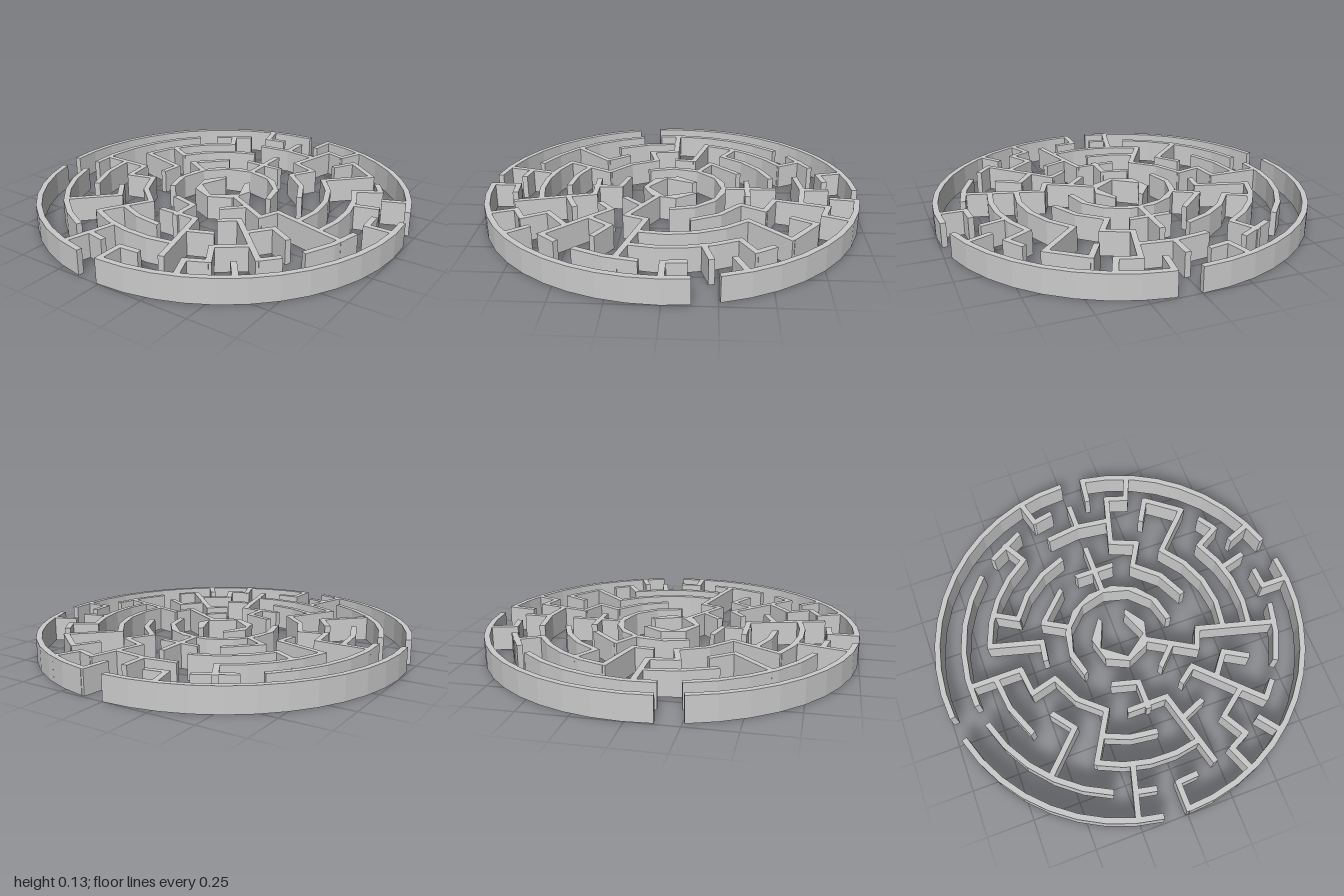
import * as THREE from 'three';

const STEP = 0.1407;   // distance between rings
const HALF = 0.015;    // half wall thickness
const HEIGHT = 0.13;
const FACET = 0.135;   // target facet length of curved walls

// Curved walls: [ring, startAngle, endAngle], degrees clockwise from the back
const ARCS = [
  [1, 30, 330],
  [2, -120, 90], [2, 120, 150], [2, 180, 210],
  [3, -15, 15], [3, 30, 75], [3, 105, 120], [3, 135, 150], [3, 165, 195],
  [3, 210, 255], [3, 270, 285], [3, 300, 330],
  [4, 15, 30], [4, 45, 105], [4, 120, 135], [4, 150, 165], [4, 180, 210],
  [4, 225, 240], [4, 255, 270], [4, 300, 345],
  [5, -15, 15], [5, 60, 105], [5, 135, 150], [5, 165, 210], [5, 240, 270], [5, 285, 330],
  [6, 15, 22.5], [6, 30, 45], [6, 52.5, 60], [6, 82.5, 90], [6, 97.5, 120],
  [6, 127.5, 135], [6, 150, 157.5], [6, 172.5, 180], [6, 187.5, 195],
  [6, 202.5, 255], [6, 262.5, 315], [6, 322.5, 337.5], [6, 345, 352.5],
  [7, 7.5, 75], [7, 82.5, 180], [7, 187.5, 255], [7, 262.5, 360],
];

// Straight radial walls: [angle, innerRing, outerRing]
const SPOKES = [
  [0, 2, 4], [0, 5, 6], [7.5, 6, 7], [15, 4, 6], [22.5, 6, 7],
  [30, 3, 4], [30, 5, 6], [45, 4, 6], [60, 5, 6], [67.5, 6, 7],
  [75, 5, 6], [90, 6, 7], [105, 3, 6], [120, 1, 3], [120, 4, 5],
  [135, 3, 6], [142.5, 6, 7], [150, 5, 6], [157.5, 6, 7], [165, 3, 6],
  [180, 2, 3], [180, 6, 7], [195, 5, 7], [210, 3, 5], [225, 4, 6],
  [255, 3, 4], [270, 4, 6], [285, 3, 5], [300, 2, 3], [300, 4, 5],
  [330, 5, 6], [345, 6, 7],
];

const rad = THREE.MathUtils.degToRad;

// Points along a circle, with a facet count that follows the arc length
function arcPoints(r, a0, a1) {
  const n = Math.max(1, Math.floor((r * rad(a1 - a0)) / FACET));
  return Array.from({ length: n + 1 }, (_, i) => {
    const a = rad(a0 + ((a1 - a0) * i) / n);
    return new THREE.Vector2(r * Math.sin(a), r * Math.cos(a));
  });
}

// Does a curved wall touch this ring at this angle?
function meetsArc(ring, angle) {
  return ARCS.some(([k, a0, a1]) => k === ring &&
    [angle - 360, angle, angle + 360].some((a) => a >= a0 && a <= a1));
}

// Raise a plan outline into a wall standing on the ground
function wallGeometry(points) {
  const geometry = new THREE.ExtrudeGeometry(new THREE.Shape(points), { depth: HEIGHT, bevelEnabled: false });
  return geometry.rotateX(-Math.PI / 2);
}

export function createModel() {
  const model = new THREE.Group();
  model.name = 'circularMaze';
  const material = new THREE.MeshStandardMaterial({ color: 0xcccccc, flatShading: true });

  // Concentric ring walls, grouped per ring
  const rings = [];
  for (let k = 1; k <= 7; k++) {
    rings[k] = new THREE.Group();
    rings[k].name = k === 7 ? 'outerRing' : k === 1 ? 'centreRing' : `innerRing${k}`;
    model.add(rings[k]);
  }
  for (const [k, a0, a1] of ARCS) {
    const r = k * STEP;
    const outline = [...arcPoints(r + HALF, a0, a1), ...arcPoints(r - HALF, a0, a1).reverse()];
    const wall = new THREE.Mesh(wallGeometry(outline), material);
    wall.name = 'curvedWall';
    rings[k].add(wall);
  }

  // Radial walls, lengthened to fill the corner where they meet a ring
  const spokes = new THREE.Group();
  spokes.name = 'radialWalls';
  for (const [angle, k0, k1] of SPOKES) {
    const r0 = k0 * STEP - (meetsArc(k0, angle) ? HALF * 0.85 : 0);
    const r1 = k1 * STEP + (meetsArc(k1, angle) ? HALF * 0.85 : 0);
    const wall = new THREE.Mesh(new THREE.BoxGeometry(2 * HALF, HEIGHT, r1 - r0), material);
    wall.geometry.translate(0, HEIGHT / 2, -(r0 + r1) / 2);
    wall.rotation.y = -rad(angle);
    wall.name = 'radialWall';
    spokes.add(wall);
  }
  model.add(spokes);
  return model;
}
